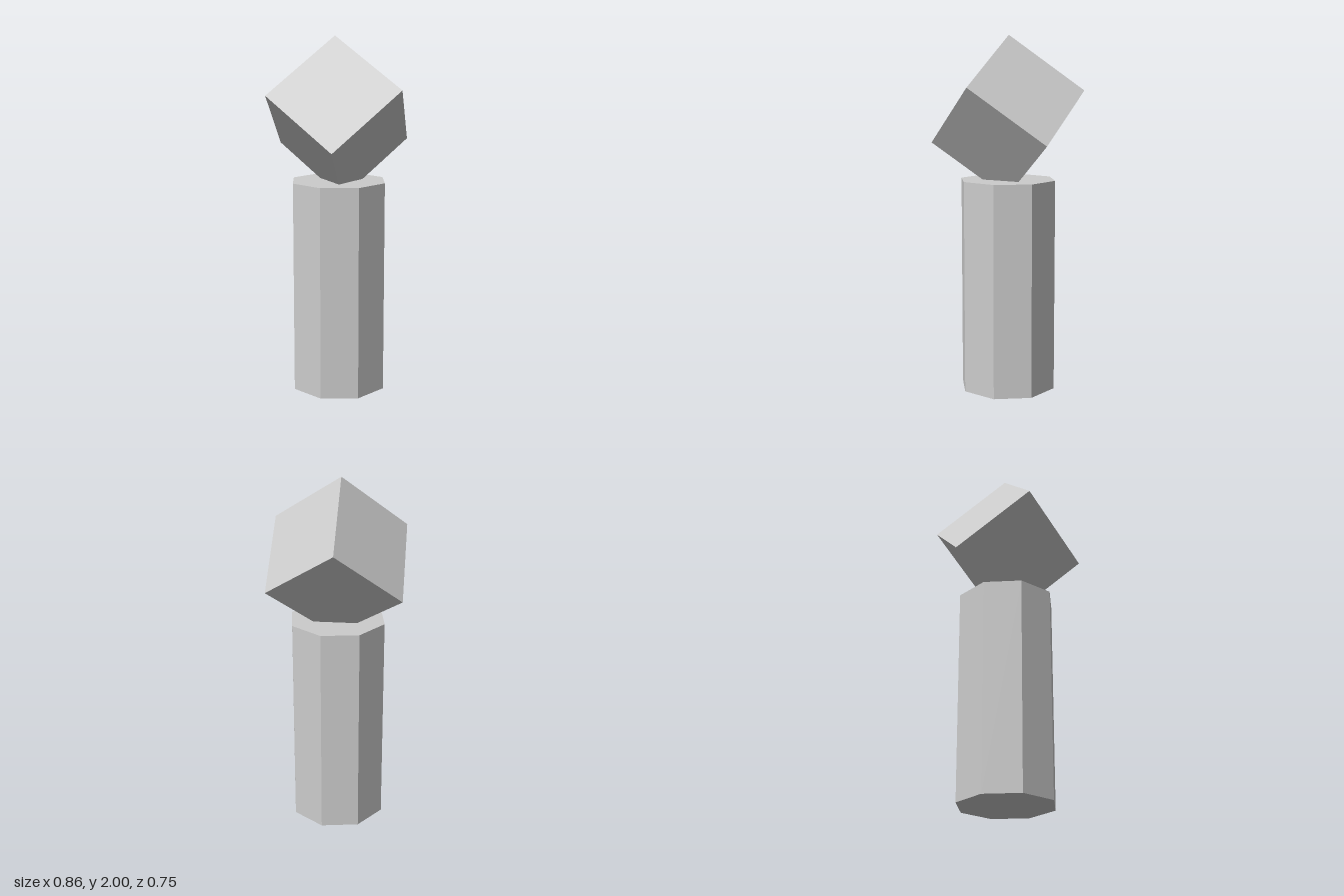
import * as THREE from 'three';

export function createModel() {
  const group = new THREE.Group();
  const material = new THREE.MeshStandardMaterial({ color: 0xcccccc, flatShading: true });

  // Eight-sided column, one corner facing the front
  const column = new THREE.Mesh(new THREE.CylinderGeometry(0.275, 0.275, 1.2, 8), material);
  column.name = 'column';
  column.position.y = 0.6;
  group.add(column);

  // Cube balanced on one corner, which sinks into the column top
  const cube = new THREE.Mesh(new THREE.BoxGeometry(0.52, 0.52, 0.52), material);
  cube.name = 'tiltedCube';
  const xAxis = new THREE.Vector3(0.797, 0.604, -0.029).normalize();
  const zAxis = new THREE.Vector3(0.433, -0.54, 0.721).projectOnPlane(xAxis).normalize();
  const yAxis = new THREE.Vector3().crossVectors(zAxis, xAxis);
  cube.quaternion.setFromRotationMatrix(new THREE.Matrix4().makeBasis(xAxis, yAxis, zAxis));
  cube.position.y = 1.552;
  group.add(cube);

  return group;
}
